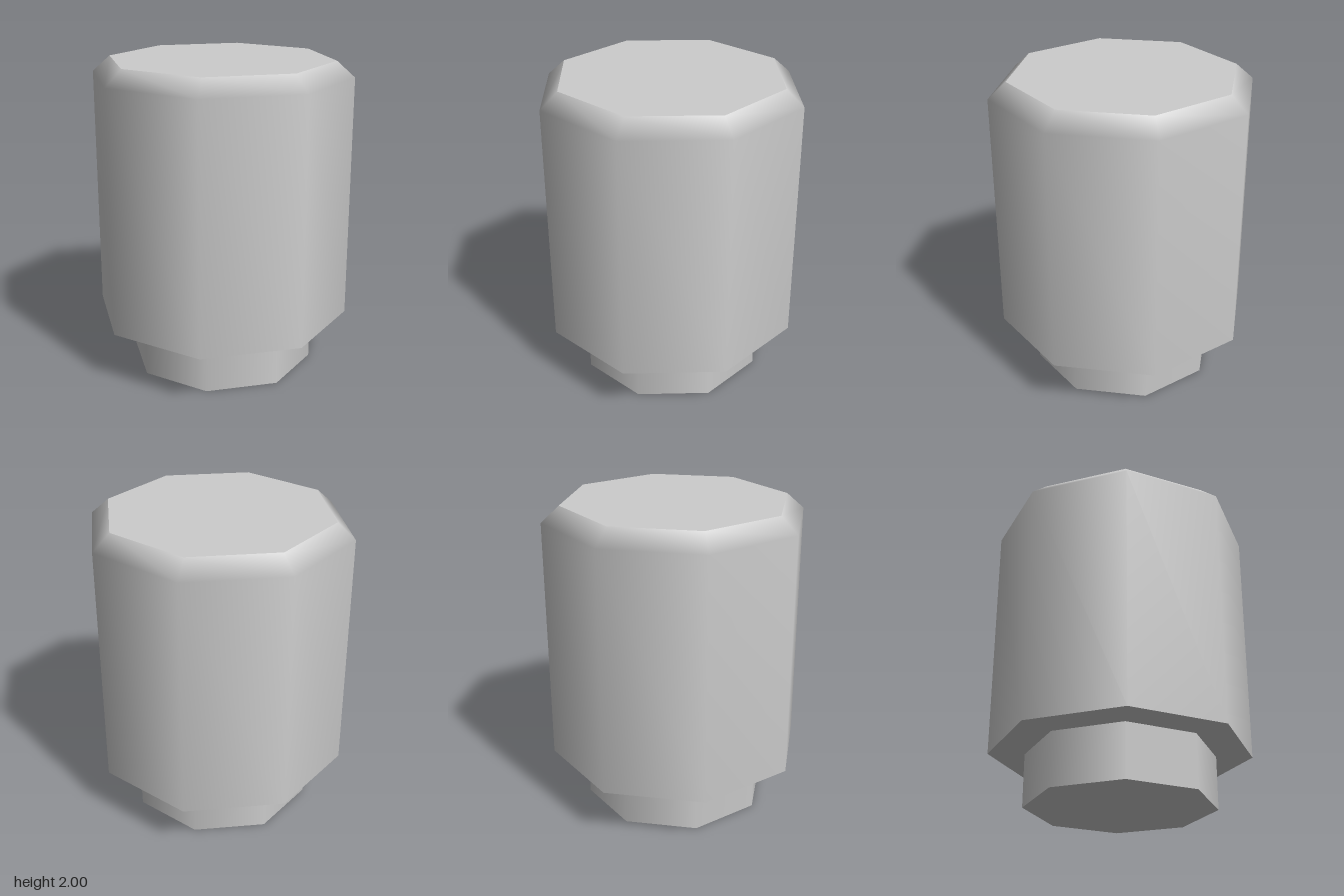
import * as THREE from 'three';

const SIDES = 8;
const material = new THREE.MeshStandardMaterial({ color: 0xcccccc });

function addMesh(parent, name, geometry, y = 0) {
  const mesh = new THREE.Mesh(geometry, material);
  mesh.name = name;
  mesh.position.y = y;
  parent.add(mesh);
  return mesh;
}

// Flat octagonal disc facing up or down
function addCap(parent, name, radius, y, up) {
  const cap = addMesh(parent, name, new THREE.CircleGeometry(radius, SIDES), y);
  cap.rotation.x = up ? -Math.PI / 2 : Math.PI / 2;
}

export function createModel() {
  const model = new THREE.Group();
  model.name = 'steppedPlug';

  // Narrow stem at the bottom
  const stem = new THREE.Group();
  stem.name = 'stem';
  model.add(stem);
  addMesh(stem, 'stemSide', new THREE.CylinderGeometry(0.6, 0.6, 0.34, SIDES, 1, true), 0.17);
  addCap(stem, 'stemBottom', 0.6, 0, false);

  // Wide body, its wall shaded smoothly into the bevelled rim
  const body = new THREE.Group();
  body.name = 'body';
  model.add(body);
  const profile = [[0.83, 0.34], [0.83, 1.9], [0.717, 2]].map(([r, y]) => new THREE.Vector2(r, y));
  addMesh(body, 'bodySide', new THREE.LatheGeometry(profile, SIDES));
  addCap(body, 'bodyTop', 0.717, 2, true);
  addCap(body, 'bodyUnderside', 0.83, 0.34, false);

  return model;
}
